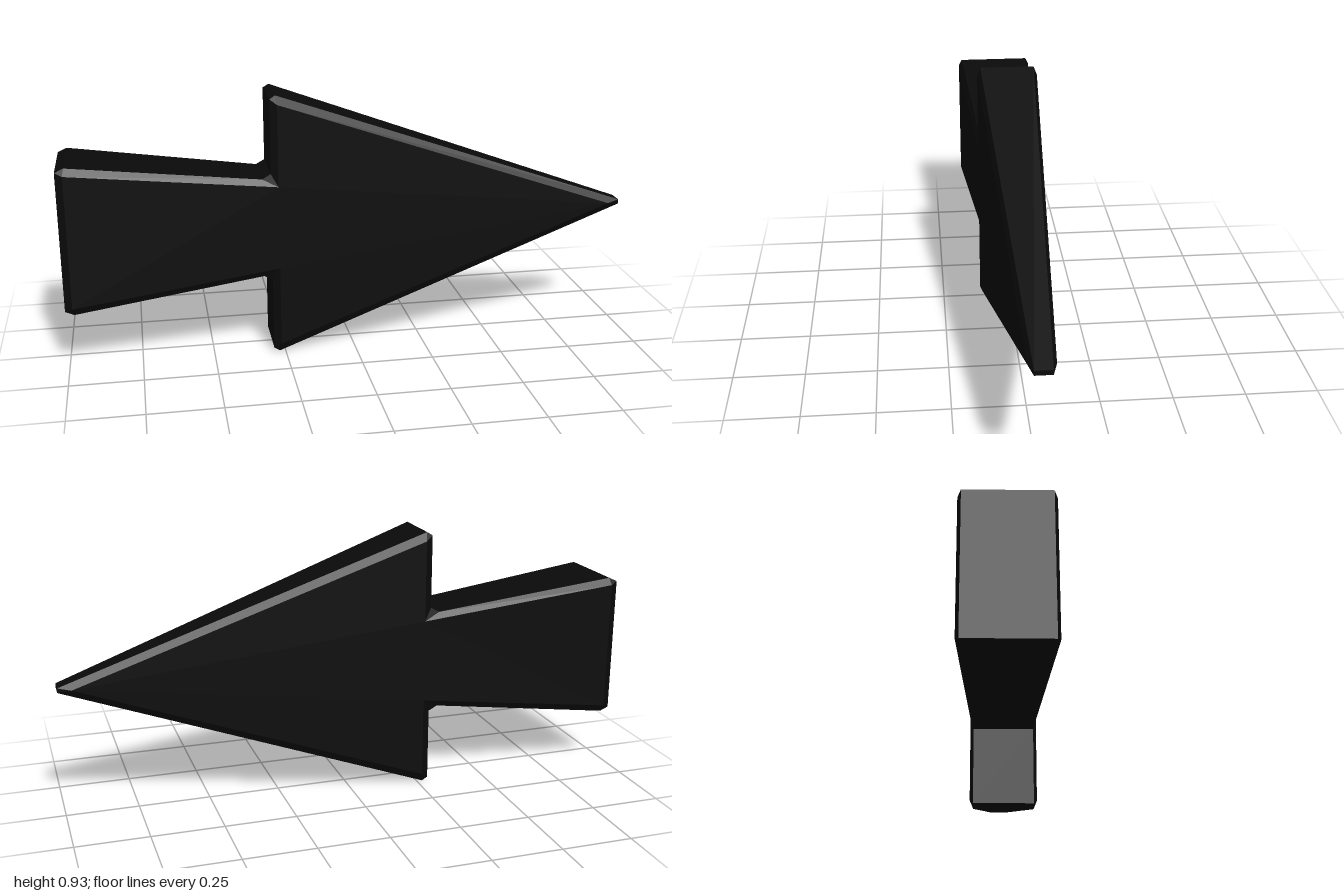
import * as THREE from 'three';

const MID_Y = 0.4625;
const BEVEL_DEPTH = 0.012;

// Body thins steadily from tail to tip
const halfDepth = (x) => 0.0935 - 0.0535 * x;

// Outline corners above the middle line: bevel-inner point, then the two ends of the corner cut
const upper = [
  { inner: [-0.265, 0.432], a: [-0.27, 0.4625], b: [-0.29, 0.45] },   // barb
  { inner: [-0.265, 0.147], a: [-0.29, 0.192], b: [-0.32, 0.175] },   // neck
  { inner: [-0.975, 0.232], a: [-0.97, 0.257], b: [-1, 0.243] },      // tail
];
const flip = ([x, y]) => [x, -y];

function arrowGeometry() {
  const tip = { inner: [0.955, 0], a: [1, -0.008], b: [1, 0.008] };
  const lower = upper.map((c) => ({ inner: flip(c.inner), a: flip(c.b), b: flip(c.a) })).reverse();
  const corners = [tip, ...upper, ...lower];

  const pos = [];
  const rim = ([x, y], s) => [x, y + MID_Y, s * (halfDepth(x) - BEVEL_DEPTH)];
  const face = ([x, y], s) => [x, y + MID_Y, s * halfDepth(x)];
  const tri = (p, q, r) => pos.push(...p, ...q, ...r);
  const sided = (s, p, q, r) => (s > 0 ? tri(p, q, r) : tri(p, r, q));
  const wall = (p, q) => {
    tri(rim(p, 1), rim(p, -1), rim(q, -1));
    tri(rim(p, 1), rim(q, -1), rim(q, 1));
  };

  // Flat front and back faces
  const points = corners.map((c) => new THREE.Vector2(...c.inner));
  const caps = THREE.ShapeUtils.triangulateShape(points, []);
  for (const s of [1, -1]) {
    for (const t of caps) sided(s, ...t.map((i) => face(corners[i].inner, s)));
  }

  // Bevels and side walls
  corners.forEach((c, i) => {
    const n = corners[(i + 1) % corners.length];
    for (const s of [1, -1]) {
      sided(s, rim(c.a, s), rim(c.b, s), face(c.inner, s));
      sided(s, rim(c.b, s), rim(n.a, s), face(n.inner, s));
      sided(s, rim(c.b, s), face(n.inner, s), face(c.inner, s));
    }
    wall(c.a, c.b);
    wall(c.b, n.a);
  });

  const geometry = new THREE.BufferGeometry();
  geometry.setAttribute('position', new THREE.Float32BufferAttribute(pos, 3));
  geometry.computeVertexNormals();
  return geometry;
}

export function createModel() {
  const black = new THREE.MeshStandardMaterial({ color: 0x0a0a0a });
  black.name = 'black';

  const arrow = new THREE.Mesh(arrowGeometry(), black);
  arrow.name = 'arrow';

  const group = new THREE.Group();
  group.name = 'arrowPointer';
  group.add(arrow);
  return group;
}
